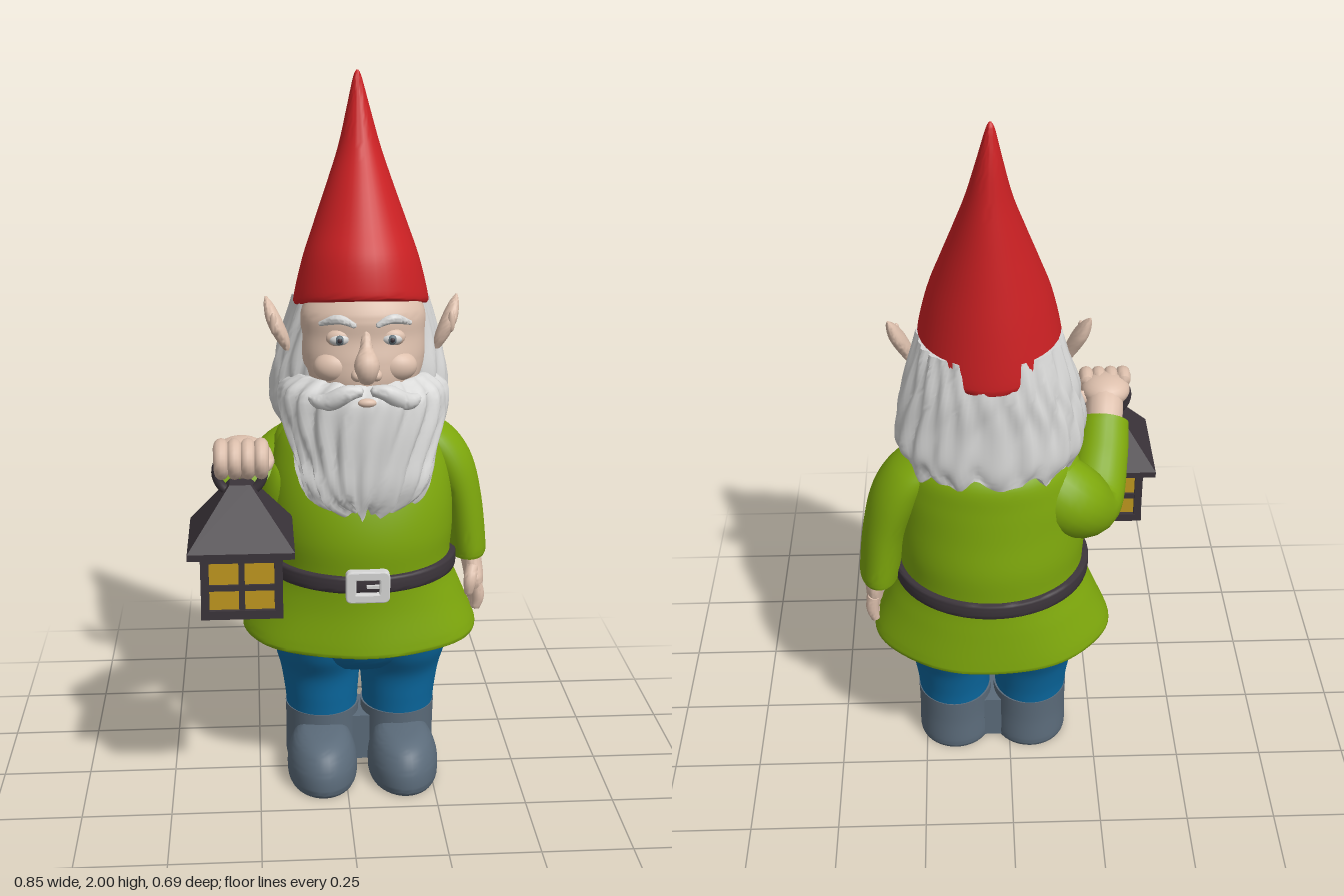
import * as THREE from 'three';
import { toCreasedNormals } from 'three/addons/utils/BufferGeometryUtils.js';

const mat = (name, color) => Object.assign(new THREE.MeshStandardMaterial({ color }), { name });
const M = {
  red: mat('hat red', 0xcb2023), green: mat('tunic green', 0x7ea80c), blue: mat('trouser blue', 0x0a689f),
  boot: mat('boot grey', 0x5b6b7a), white: mat('hair white', 0xd6d6d5), skin: mat('skin', 0xdcbfac),
  dark: mat('dark iron', 0x3b343a), yellow: mat('lantern yellow', 0xc0981f), iris: mat('iris grey', 0x66747c),
};
const CX = 0.05; // middle of the body

// Smooth interpolation through a list of number rows
function sample(rows, t) {
  const f = t * (rows.length - 1), k = Math.min(Math.floor(f), rows.length - 2), u = f - k;
  const at = i => rows[Math.max(0, Math.min(rows.length - 1, i))];
  const [a, b, c, d] = [at(k - 1), at(k), at(k + 1), at(k + 2)];
  return b.map((_, i) => 0.5 * (2 * b[i] + (c[i] - a[i]) * u + (2 * a[i] - 5 * b[i] + 4 * c[i] - d[i]) * u * u
    + (3 * b[i] - a[i] - 3 * c[i] + d[i]) * u * u * u));
}

// Skin over elliptical rings [y, cx, cz, rx, rz, tilt]; warp(angle, v) gives [radius factor, y shift]
function loft(rings, { seg = 40, steps = 6, pow = 1, warp = () => [1, 0] } = {}) {
  const n = (rings.length - 1) * steps, pos = [], idx = [];
  const curve = v => Math.sign(v) * Math.abs(v) ** pow;
  for (let j = -1; j <= n + 1; j++) {
    const v = Math.max(0, Math.min(n, j)) / n, cap = j < 0 || j > n ? 0 : 1;
    const [y, cx, cz, rx, rz, tilt = 0] = sample(rings, v);
    for (let i = 0; i <= seg; i++) {
      const a = (i % seg) / seg * Math.PI * 2, [k, dy] = warp(a, v);
      const x = curve(Math.sin(a)) * rx * k * cap, z = curve(Math.cos(a)) * rz * k * cap;
      pos.push(cx + x, y + dy * cap + tilt * z, cz + z);
    }
  }
  for (let j = 0; j < n + 2; j++) for (let i = 0; i < seg; i++) {
    const a = j * (seg + 1) + i, d = a + seg + 1;
    idx.push(a, a + 1, d + 1, a, d + 1, d);
  }
  const g = new THREE.BufferGeometry();
  g.setAttribute('position', new THREE.Float32BufferAttribute(pos, 3));
  g.setIndex(idx);
  return toCreasedNormals(g, 0.9);
}

// Tube of changing radius, closed at both ends
function limb(points, radii, n = 24, seg = 16) {
  const curve = new THREE.CatmullRomCurve3(points.map(p => new THREE.Vector3(...p)));
  const g = new THREE.TubeGeometry(curve, n, 1, seg), p = g.attributes.position, v = new THREE.Vector3();
  for (let i = 0; i <= n; i++) {
    const c = curve.getPointAt(i / n), r = i % n ? sample(radii.map(q => [q]), i / n)[0] : 0;
    for (let j = 0; j <= seg; j++) {
      const k = i * (seg + 1) + j;
      v.fromBufferAttribute(p, k).sub(c).multiplyScalar(r).add(c);
      p.setXYZ(k, v.x, v.y, v.z);
    }
  }
  g.deleteAttribute('uv'); g.deleteAttribute('normal');
  return toCreasedNormals(g, 0.9);
}
const ball = (x, y, z, rx, ry, rz) => new THREE.SphereGeometry(1, 24, 16).scale(rx, ry, rz).translate(x, y, z);
const box = (x, y, z, w, h, d) => new THREE.BoxGeometry(w, h, d).translate(x, y, z);
// Wavy strands with a ragged lower edge
const strands = (amp, jag) => (a, v) => [
  1 + amp * (Math.abs(Math.sin(a * 8 + 1.5 * Math.sin(v * 5))) + 0.6 * Math.sin(a * 23 + 3 * Math.sin(v * 4 + a)) - 0.7),
  jag * (1 - v) ** 3 * (Math.sin(a * 11) + 0.7 * Math.sin(a * 19 + 1))];

export function createModel() {
  const model = new THREE.Group();
  const add = (name, geo, material, parent = model) => {
    const m = new THREE.Mesh(geo, material);
    m.name = name;
    parent.add(m);
    return m;
  };
  const group = name => { const g = new THREE.Group(); g.name = name; model.add(g); return g; };

  // Hat, leaning back, with a tilted rim
  add('hat', loft([[1.372, CX, -0.095, 0.178, 0.198, 0.27], [1.39, CX, -0.095, 0.187, 0.205, 0.26], [1.5, CX, -0.1, 0.162, 0.186, 0.17],
    [1.6, CX, -0.117, 0.128, 0.152, 0.08], [1.7, CX, -0.138, 0.092, 0.115, 0.04], [1.8, CX, -0.162, 0.058, 0.075, 0],
    [1.9, CX - 0.002, -0.18, 0.032, 0.042, 0], [1.98, CX - 0.004, -0.189, 0.012, 0.014, 0], [2, CX - 0.004, -0.19, 0.003, 0.003, 0]]), M.red);

  // Hair and beard
  add('hair', loft([[1.04, CX, -0.13, 0.215, 0.17], [1.1, CX, -0.125, 0.248, 0.182], [1.2, CX, -0.115, 0.242, 0.185],
    [1.3, CX, -0.115, 0.215, 0.183], [1.4, CX, -0.11, 0.185, 0.17, 0.2]], { seg: 120, steps: 8, pow: 0.85, warp: strands(0.035, 0.014) }), M.white);
  add('beard', loft([[0.845, 0.05, 0.12, 0.06, 0.035], [0.88, 0.05, 0.112, 0.145, 0.06], [0.93, 0.052, 0.1, 0.178, 0.08],
    [1.0, 0.053, 0.06, 0.195, 0.12], [1.1, 0.053, 0.015, 0.225, 0.162], [1.17, CX, 0, 0.225, 0.165], [1.21, CX, 0, 0.18, 0.125]],
    { seg: 120, steps: 6, warp: strands(0.05, 0.016) }), M.white);

  // Head and face
  const face = group('face');
  add('head', loft([[1.12, CX, 0, 0.12, 0.11], [1.2, CX, 0, 0.155, 0.133], [1.26, CX, 0, 0.168, 0.13],
    [1.32, CX, 0, 0.168, 0.116], [1.38, CX, -0.005, 0.168, 0.118], [1.44, CX, -0.02, 0.14, 0.1]]), M.skin, face);
  add('nose', limb([[CX, 1.35, 0.1], [CX, 1.3, 0.125], [CX, 1.25, 0.15], [CX, 1.215, 0.14]], [0.012, 0.017, 0.034, 0.02]), M.skin, face);
  add('lip', ball(CX, 1.165, 0.166, 0.025, 0.012, 0.014), M.skin, face);
  for (const s of [-1, 1]) {
    const X = x => CX + s * x;
    add('cheek', ball(X(0.085), 1.245, 0.085, 0.055, 0.042, 0.04), M.skin, face);
    add('nostril', ball(X(0.025), 1.232, 0.135, 0.017, 0.016, 0.022), M.skin, face);
    add('eyelid', ball(X(0.07), 1.326, 0.096, 0.036, 0.024, 0.018), M.skin, face);
    add('eyeball', ball(X(0.07), 1.323, 0.103, 0.028, 0.016, 0.016), M.white, face);
    add('iris', ball(X(0.07), 1.323, 0.113, 0.013, 0.013, 0.008), M.iris, face);
    add('pupil', ball(X(0.07), 1.323, 0.118, 0.007, 0.007, 0.005), M.dark, face);
    add('eyebrow', limb([[X(0.025), 1.36, 0.116], [X(0.07), 1.378, 0.108], [X(0.125), 1.36, 0.078]], [0.007, 0.013, 0.006]), M.white, face);
    add('moustache', limb([[X(0.008), 1.195, 0.152], [X(0.05), 1.19, 0.157], [X(0.11), 1.16, 0.138], [X(0.17), 1.175, 0.1]],
      [0.014, 0.025, 0.022, 0.003]), M.white, face);
    add('ear', loft([[1.265, X(0.205), -0.03, 0.01, 0.012], [1.3, X(0.22), -0.03, 0.02, 0.025], [1.345, X(0.24), -0.038, 0.022, 0.034],
      [1.385, X(0.254), -0.053, 0.014, 0.02], [1.407, X(0.262), -0.065, 0.003, 0.004]], { seg: 20 }), M.skin, face);
    add('ear hollow', ball(X(0.243), 1.342, -0.012, 0.01, 0.03, 0.01), M.skin, face);
  }

  // Tunic with a flared hollow hem, belt and buckle
  add('tunic', loft([[0.5, CX, -0.085, 0.28, 0.2], [0.435, CX, -0.085, 0.318, 0.236], [0.422, CX, -0.085, 0.338, 0.252],
    [0.45, CX, -0.085, 0.336, 0.252], [0.55, CX, -0.085, 0.293, 0.243], [0.64, CX, -0.08, 0.26, 0.24], [0.75, CX, -0.077, 0.264, 0.246],
    [0.85, CX, -0.08, 0.262, 0.233], [0.95, CX, -0.095, 0.25, 0.21], [1.03, CX, -0.11, 0.215, 0.185], [1.08, CX, -0.12, 0.13, 0.13]],
    { seg: 72, warp: (a, v) => [1 + 0.013 * Math.sin(a * 7 + 1) * Math.max(0, 1 - v * 2), 0] }), M.green);
  add('belt', loft([[0.618, CX, -0.08, 0.262, 0.242], [0.622, CX, -0.08, 0.275, 0.252], [0.643, CX, -0.08, 0.277, 0.254],
    [0.664, CX, -0.08, 0.275, 0.252], [0.668, CX, -0.08, 0.262, 0.242]], { seg: 64, steps: 3 }), M.dark);
  const rect = (T, w, h, r) => {
    const s = new T();
    s.moveTo(-w + r, -h); s.lineTo(w - r, -h); s.quadraticCurveTo(w, -h, w, -h + r); s.lineTo(w, h - r);
    s.quadraticCurveTo(w, h, w - r, h); s.lineTo(-w + r, h); s.quadraticCurveTo(-w, h, -w, h - r);
    s.lineTo(-w, -h + r); s.quadraticCurveTo(-w, -h, -w + r, -h);
    return s;
  };
  const frame = rect(THREE.Shape, 0.057, 0.042, 0.014);
  frame.holes.push(rect(THREE.Path, 0.036, 0.024, 0.006));
  add('buckle', new THREE.ExtrudeGeometry(frame, { depth: 0.022, bevelSize: 0.004, bevelThickness: 0.004, bevelSegments: 2 })
    .translate(0.053, 0.645, 0.163), M.white);
  add('buckle prong', box(0.075, 0.645, 0.18, 0.05, 0.008, 0.01), M.white);

  // Trousers and boots
  add('seat of trousers', loft([[0.33, CX, -0.085, 0.15, 0.13], [0.37, CX, -0.083, 0.225, 0.168],
    [0.43, CX, -0.08, 0.268, 0.19], [0.52, CX, -0.08, 0.26, 0.19]]), M.blue);
  for (const s of [-1, 1]) {
    const X = x => CX + s * x;
    add('trouser leg', loft([[0.165, X(0.113), -0.085, 0.104, 0.112], [0.22, X(0.114), -0.085, 0.108, 0.118], [0.3, X(0.117), -0.088, 0.118, 0.133],
      [0.37, X(0.122), -0.084, 0.13, 0.165], [0.44, X(0.125), -0.08, 0.135, 0.185]]), M.blue);
    add('boot shaft', loft([[0, X(0.112), -0.088, 0.104, 0.108], [0.02, X(0.112), -0.088, 0.108, 0.114], [0.1, X(0.112), -0.086, 0.107, 0.113],
      [0.178, X(0.112), -0.085, 0.109, 0.116]]), M.boot);
    add('boot toe', loft([[0, X(0.118), 0.045, 0.095, 0.148], [0.02, X(0.118), 0.046, 0.101, 0.157], [0.07, X(0.118), 0.044, 0.1, 0.155],
      [0.115, X(0.118), 0.036, 0.084, 0.137], [0.138, X(0.118), 0.025, 0.06, 0.105], [0.146, X(0.118), 0.015, 0.03, 0.06]]), M.boot);
  }
  add('boot bridge', box(CX, 0.08, -0.085, 0.05, 0.14, 0.14), M.boot);

  // Left arm hanging at the side
  add('leftSleeve', loft([[0.632, 0.365, -0.122, 0.053, 0.09], [0.66, 0.364, -0.122, 0.057, 0.094], [0.8, 0.343, -0.122, 0.062, 0.1],
    [0.92, 0.3, -0.12, 0.076, 0.108], [1.0, 0.25, -0.12, 0.075, 0.1], [1.05, 0.2, -0.12, 0.05, 0.07]]), M.green);
  const leftHand = group('leftHand');
  add('palm', loft([[0.53, 0.386, -0.09, 0.024, 0.058], [0.57, 0.384, -0.09, 0.028, 0.066], [0.61, 0.378, -0.1, 0.03, 0.056],
    [0.66, 0.37, -0.11, 0.03, 0.05]]), M.skin, leftHand);
  for (let i = 0; i < 4; i++) {
    const z = -0.138 + i * 0.031, end = [0.462, 0.456, 0.46, 0.472][i];
    add('finger', limb([[0.386, 0.56, z], [0.393, 0.51, z], [0.384, end, z]], [0.017, 0.018, 0.012], 12, 12), M.skin, leftHand);
  }
  add('thumb', limb([[0.378, 0.61, -0.06], [0.366, 0.565, -0.03], [0.362, 0.52, -0.03]], [0.018, 0.019, 0.011], 12, 12), M.skin, leftHand);

  // Right arm bent forward, fist around the lantern ring
  add('rightSleeve', limb([[-0.06, 0.98, -0.13], [-0.155, 0.9, -0.15], [-0.225, 0.835, -0.09], [-0.262, 0.91, 0.02], [-0.277, 0.985, 0.115]],
    [0.09, 0.105, 0.088, 0.078, 0.072], 32, 24), M.green);
  add('rightShoulder', ball(-0.1, 0.955, -0.12, 0.1, 0.105, 0.115), M.green);
  const rightHand = group('rightHand');
  add('wrist', limb([[-0.272, 0.965, 0.07], [-0.28, 1.01, 0.13], [-0.285, 1.035, 0.19]], [0.05, 0.053, 0.05]), M.skin, rightHand);
  add('fist', ball(-0.285, 1.038, 0.178, 0.07, 0.044, 0.07), M.skin, rightHand);
  for (let i = 0; i < 4; i++) {
    const x = -0.338 + i * 0.035;
    add('finger', limb([[x, 1.06, 0.17], [x, 1.062, 0.225], [x, 1.028, 0.25], [x, 0.997, 0.225], [x, 1.005, 0.195]],
      [0.018, 0.021, 0.02, 0.019, 0.015], 16, 12), M.skin, rightHand);
  }
  add('thumb', limb([[-0.225, 1.035, 0.14], [-0.218, 1.01, 0.19], [-0.245, 0.998, 0.225]], [0.018, 0.019, 0.012], 12, 12), M.skin, rightHand);

  // Lantern: glowing core, iron bars, hipped roof and ring
  const lantern = group('lantern');
  lantern.position.set(-0.29, 0, 0.21);
  add('panes', box(0, 0.71, 0, 0.194, 0.17, 0.194), M.yellow, lantern);
  for (const [y, w, h] of [[0.632, 0.218, 0.024], [0.707, 0.208, 0.016], [0.79, 0.218, 0.022], [0.808, 0.28, 0.018]])
    add('lantern rail', box(0, y, 0, w, h, w), M.dark, lantern);
  add('centre bars', box(0, 0.71, 0, 0.016, 0.17, 0.208), M.dark, lantern);
  add('centre bars', box(0, 0.71, 0, 0.208, 0.17, 0.016), M.dark, lantern);
  for (const x of [-1, 1]) for (const z of [-1, 1])
    add('corner post', box(x * 0.097, 0.71, z * 0.097, 0.022, 0.17, 0.022), M.dark, lantern);
  const roof = new THREE.CylinderGeometry(0.028 * Math.SQRT2, 0.14 * Math.SQRT2, 0.15, 4, 1).rotateY(Math.PI / 4).translate(0, 0.892, 0);
  add('roof', toCreasedNormals(roof, 0.5), M.dark, lantern);
  add('ring', new THREE.TorusGeometry(0.062, 0.013, 12, 36).translate(0, 0.995, 0), M.dark, lantern);
  return model;
}
